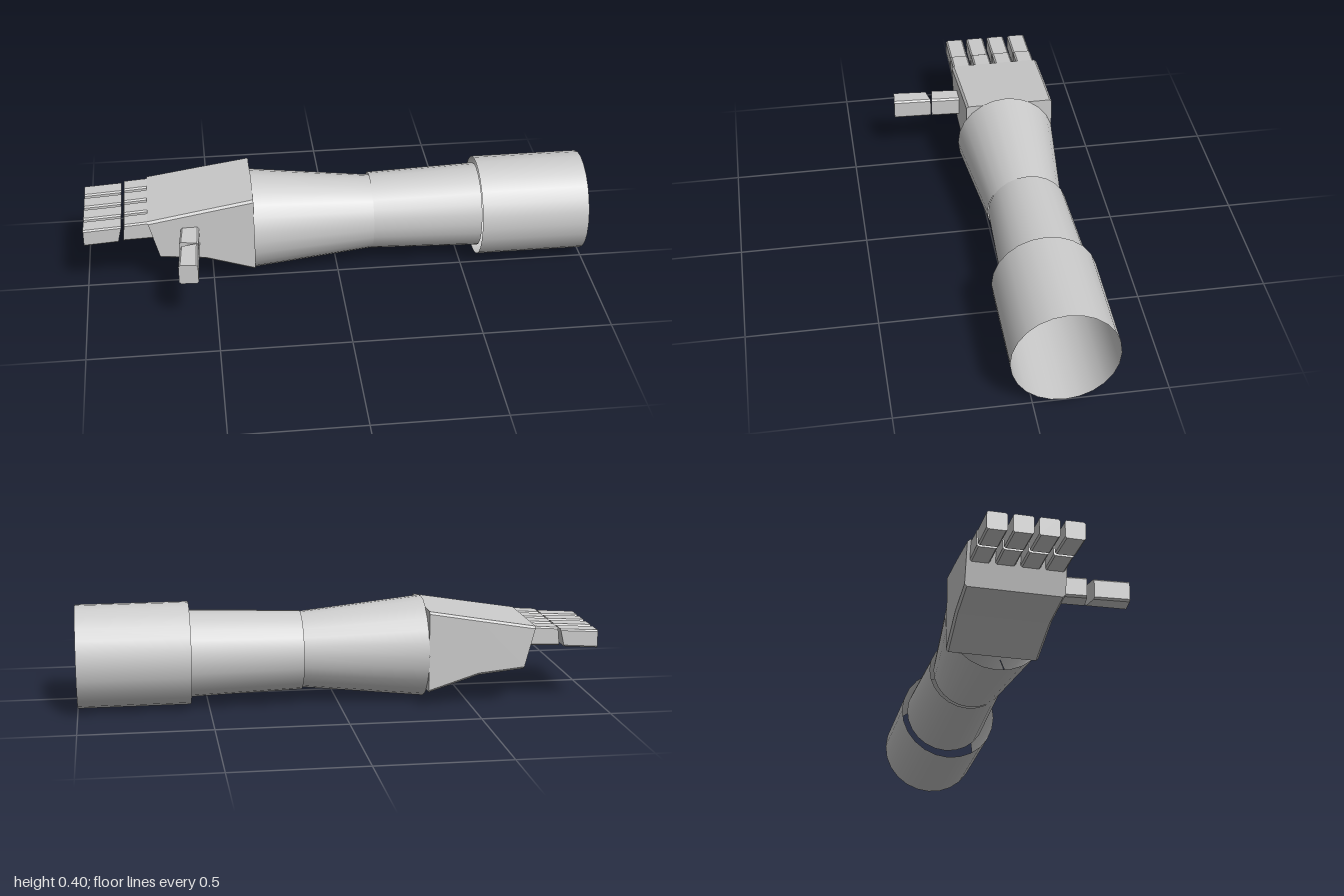
import * as THREE from 'three';

// Lofts rings of four corners into a solid with slightly chamfered long edges.
// Corners run right-handed around the direction in which the rings advance.
function loft(rings, chamfer) {
  const sections = rings.map((ring) => {
    const corners = ring.map((p) => new THREE.Vector3(...p));
    return corners.flatMap((c, i) => [corners[(i + 3) % 4], corners[(i + 1) % 4]].map(
      (n) => c.clone().add(n.clone().sub(c).setLength(chamfer))));
  });
  const positions = [];
  const add = (...points) => points.forEach((p) => positions.push(p.x, p.y, p.z));
  for (let s = 0; s < sections.length - 1; s++) {
    const a = sections[s], b = sections[s + 1];
    for (let i = 0; i < 8; i++) {
      const j = (i + 1) % 8;
      add(a[i], a[j], b[j], a[i], b[j], b[i]);
    }
  }
  const first = sections[0], last = sections[sections.length - 1];
  for (let i = 1; i < 7; i++) {
    add(first[0], first[i + 1], first[i]);
    add(last[0], last[i], last[i + 1]);
  }
  const geometry = new THREE.BufferGeometry();
  geometry.setAttribute('position', new THREE.Float32BufferAttribute(positions, 3));
  geometry.computeVertexNormals();
  return geometry;
}

// Ring across the arm: top edge, bottom edge, and z range.
const acrossX = (xTop, top, xBottom, bottom, z0, z1) => [
  [xTop, top, z1], [xBottom, bottom, z1], [xBottom, bottom, z0], [xTop, top, z0]];

// Ring across the thumb: x range with a z for each side, and y range.
const acrossZ = (x0, z0, x1, z1, bottom, top) => [
  [x1, top, z1], [x0, top, z0], [x0, bottom, z0], [x1, bottom, z1]];

export function createModel() {
  const model = new THREE.Group();
  model.name = 'arm';
  const grey = new THREE.MeshStandardMaterial({ color: 0xcccccc, side: THREE.DoubleSide });
  grey.name = 'light grey';

  const addMesh = (parent, name, geometry) => {
    const mesh = new THREE.Mesh(geometry, grey);
    mesh.name = name;
    parent.add(mesh);
  };

  // Open tubes along x: sleeve, upper arm and flared forearm
  const tubes = [
    ['sleeve', 0.57, 1.0, 0.199, 0.199, -0.118],
    ['upperArm', 0.14, 0.575, 0.154, 0.168, -0.127],
    ['forearm', -0.338, 0.142, 0.198, 0.148, -0.118],
  ];
  for (const [name, x0, x1, r0, r1, z] of tubes) {
    const tube = new THREE.CylinderGeometry(r1, r0, x1 - x0, 24, 1, true);
    tube.rotateZ(-Math.PI / 2);
    tube.translate((x0 + x1) / 2, 0.2, z);
    addMesh(model, name, tube);
  }

  // Hand: a wedge that thins and widens towards the knuckles
  const hand = new THREE.Group();
  hand.name = 'hand';
  model.add(hand);
  addMesh(hand, 'palm', loft([
    acrossX(-0.75, 0.306, -0.706, 0.14, -0.32, 0.05),
    acrossX(-0.53, 0.342, -0.53, 0.12, -0.316, 0.046),
    acrossX(-0.336, 0.374, -0.336, 0.056, -0.31, 0.044),
  ], 0.009));

  // Four fingers, each in two segments with a slanted gap
  [-0.27, -0.177, -0.085, 0.006].forEach((z, i) => {
    const finger = new THREE.Group();
    finger.name = `finger${i + 1}`;
    hand.add(finger);
    const z0 = z - 0.037, z1 = z + 0.037;
    addMesh(finger, 'fingerTip', loft([
      acrossX(-1, 0.281, -1, 0.211, z0, z1),
      acrossX(-0.851, 0.29, -0.867, 0.22, z0, z1),
    ], 0.006));
    addMesh(finger, 'fingerBase', loft([
      acrossX(-0.84, 0.297, -0.847, 0.225, z0, z1),
      acrossX(-0.7, 0.307, -0.7, 0.23, z0, z1),
    ], 0.006));
  });

  // Thumb pointing forwards from the side of the palm
  const thumb = new THREE.Group();
  thumb.name = 'thumb';
  hand.add(thumb);
  addMesh(thumb, 'thumbBase', loft([
    acrossZ(-0.62, 0.02, -0.55, 0.02, 0.19, 0.272),
    acrossZ(-0.632, 0.153, -0.557, 0.163, 0.19, 0.272),
  ], 0.007));
  addMesh(thumb, 'thumbTip', loft([
    acrossZ(-0.629, 0.182, -0.559, 0.166, 0.19, 0.272),
    acrossZ(-0.639, 0.315, -0.565, 0.32, 0.19, 0.272),
  ], 0.007));

  return model;
}
